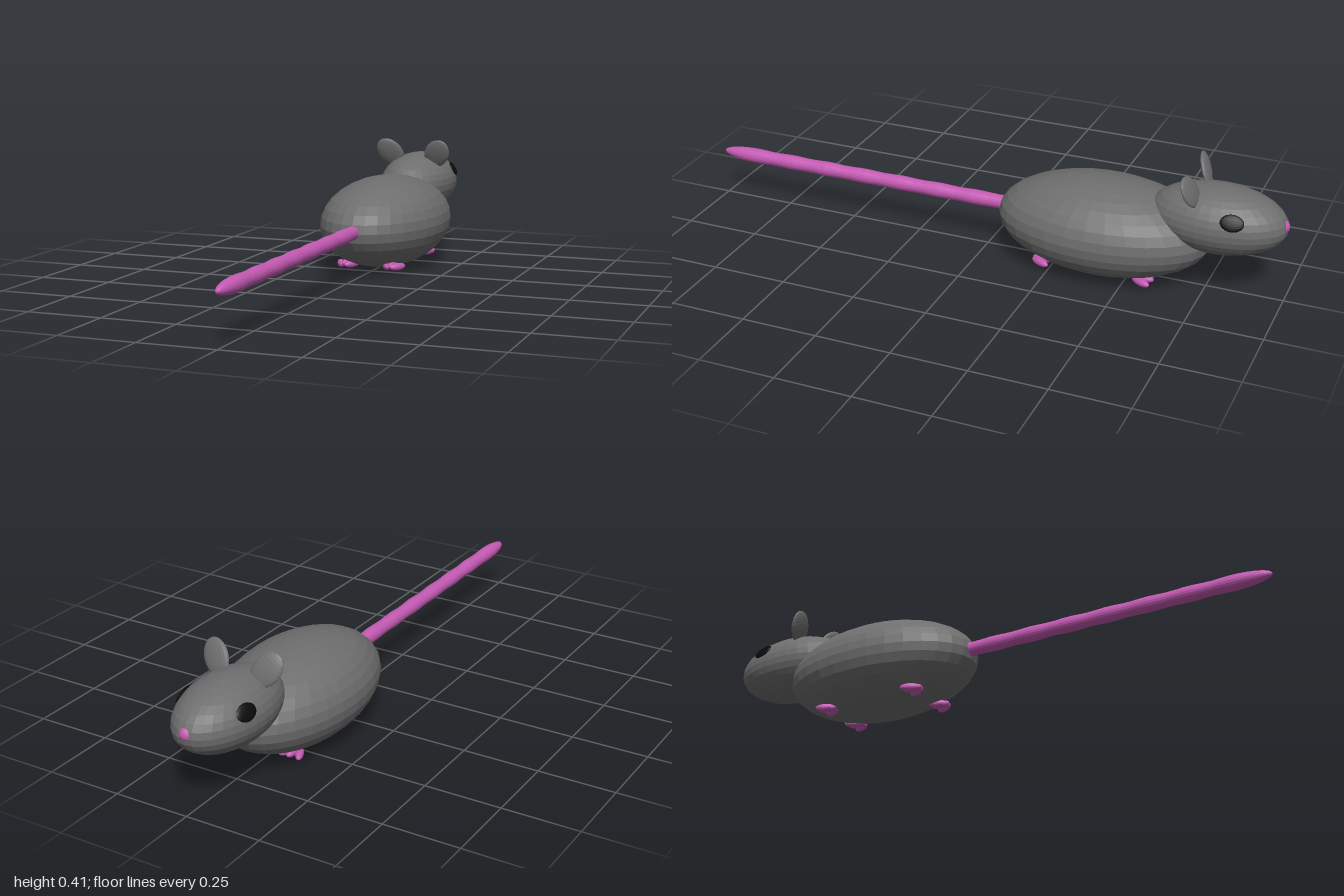
import * as THREE from 'three';

export function createModel() {
  const mat = (name, color) => {
    const m = new THREE.MeshStandardMaterial({ color, flatShading: true });
    m.name = name;
    return m;
  };
  const fur = mat('greyFur', 0x6e6e6e);
  const skin = mat('pinkSkin', 0xc45ab3);
  const black = mat('eyeBlack', 0x0a0a0a);

  const group = new THREE.Group();
  group.name = 'mouse';
  const unit = new THREE.SphereGeometry(1, 32, 16);
  const small = new THREE.SphereGeometry(1, 20, 12);

  // Ellipsoid from centre and radii
  const blob = (name, m, pos, radii, parent = group, geo = unit) => {
    const mesh = new THREE.Mesh(geo, m);
    mesh.name = name;
    mesh.position.set(...pos);
    mesh.scale.set(...radii);
    parent.add(mesh);
    return mesh;
  };

  // The mouse faces -z, its tail trails to +z
  const headPos = [0, 0.25, -0.775], headR = [0.13, 0.11, 0.222];
  blob('body', fur, [0, 0.158, -0.405], [0.21, 0.157, 0.355]);
  blob('head', fur, headPos, headR);
  blob('nose', skin, [0, 0.258, -0.977], [0.024, 0.024, 0.023], group, small);

  for (const s of [1, -1]) {
    const side = s > 0 ? 'Left' : 'Right';

    // Ear: flat disc leaning outwards and back
    const ear = blob('ear' + side, fur, [s * 0.089, 0.364, -0.705], [0.045, 0.06, 0.013], group, small);
    ear.rotation.set(0.36, s * -0.12, s * -0.6);

    // Eye: shallow lens lying on the head surface
    const dy = 0.045, dz = -0.07;
    const dx = headR[0] * Math.sqrt(1 - (dy / headR[1]) ** 2 - (dz / headR[2]) ** 2);
    const normal = new THREE.Vector3(s * dx / headR[0] ** 2, dy / headR[1] ** 2, dz / headR[2] ** 2).normalize();
    const eye = blob('eye' + side, black, [s * dx, headPos[1] + dy, headPos[2] + dz], [0.027, 0.037, 0.007], group, small);
    const along = new THREE.Vector3(0, 0, -1).addScaledVector(normal, normal.z).normalize();
    const across = new THREE.Vector3().crossVectors(along, normal);
    eye.quaternion.setFromRotationMatrix(new THREE.Matrix4().makeBasis(across, along, normal));

    // Feet: three toes fanning forward
    for (const [label, z] of [['front', -0.565], ['hind', -0.225]]) {
      const foot = new THREE.Group();
      foot.name = label + 'Foot' + side;
      foot.position.set(s * 0.083, 0.027, z);
      group.add(foot);
      for (const t of [-1, 0, 1]) {
        const toe = blob('toe', skin, [t * 0.02, t === 0 ? 0.004 : 0, t === 0 ? -0.003 : 0],
          [0.013, 0.013, 0.035], foot, small);
        toe.rotation.y = -t * 0.45;
      }
    }
  }

  // Tail: gently rippled rod with a rounded taper at the tip
  const profile = [new THREE.Vector2(0.0245, 0)];
  const length = 1.1, tipStart = 0.97;
  for (let i = 1; i <= 32; i++) {
    const d = tipStart * i / 32;
    profile.push(new THREE.Vector2(0.0242 + 0.0012 * Math.cos(d * 2 * Math.PI / 0.1385), d));
  }
  for (let i = 1; i <= 8; i++) {
    const a = (i / 8) * Math.PI / 2;
    profile.push(new THREE.Vector2(i === 8 ? 0 : 0.0254 * Math.cos(a), tipStart + (length - tipStart) * Math.sin(a)));
  }
  const tail = new THREE.Mesh(new THREE.LatheGeometry(profile, 20), skin);
  tail.name = 'tail';
  tail.rotation.x = Math.PI / 2;
  tail.position.set(0, 0.162, -0.1);
  group.add(tail);

  return group;
}
